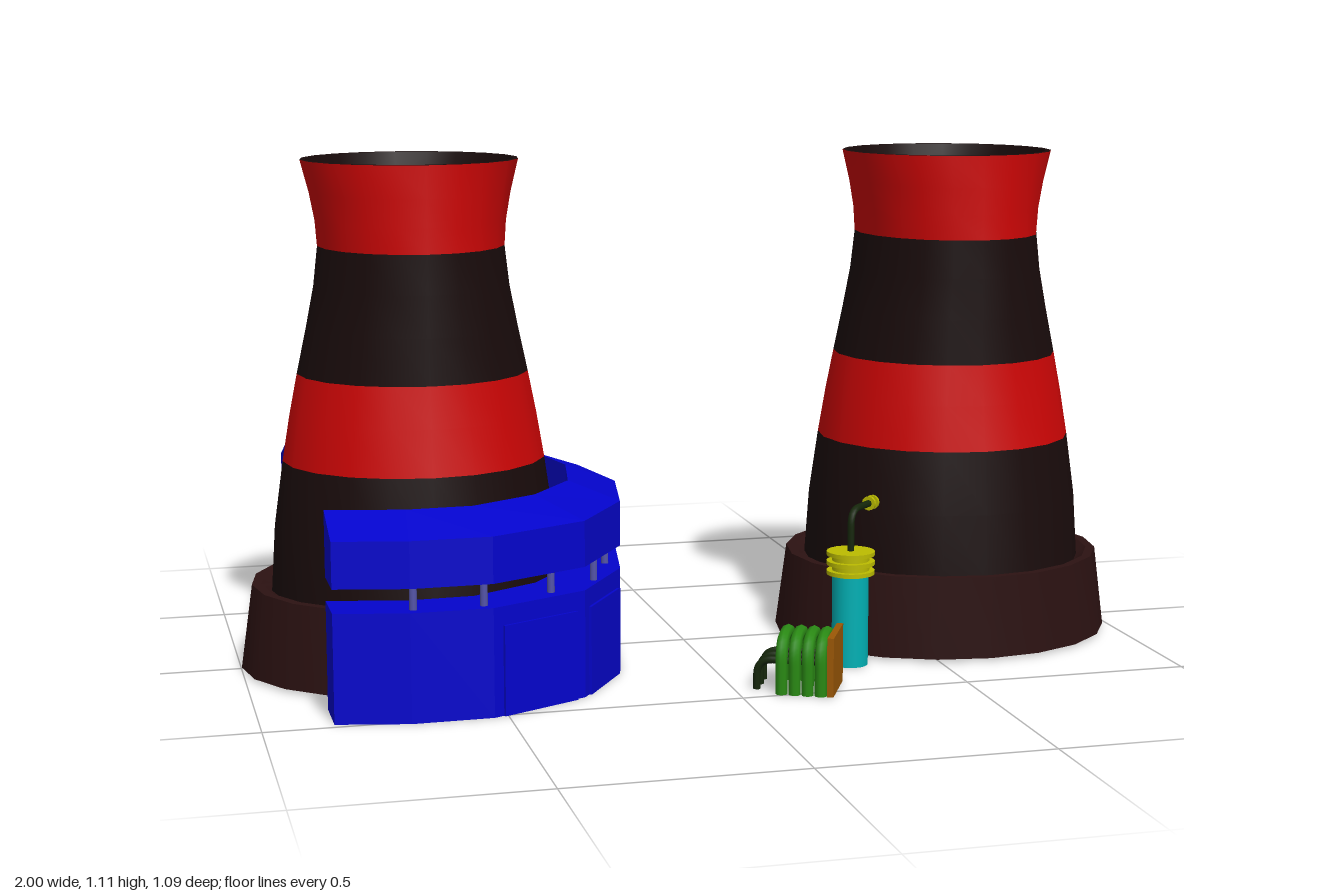
import * as THREE from 'three';
import { toCreasedNormals } from 'three/addons/utils/BufferGeometryUtils.js';

const mat = (color) => new THREE.MeshStandardMaterial({ color, side: THREE.DoubleSide });
const MAT = {
  red: mat(0xcc0505), dark: mat(0x190b0b), base: mat(0x2c1212), blue: mat(0x0404cc),
  column: mat(0x5555aa), teal: mat(0x00b0b4), yellow: mat(0xbcbc00),
  green: mat(0x2a8a14), pipe: mat(0x15260a), brown: mat(0x9c5805),
};

function add(parent, name, geometry, material, x = 0, y = 0, z = 0) {
  const mesh = new THREE.Mesh(geometry, material);
  mesh.name = name;
  mesh.position.set(x, y, z);
  parent.add(mesh);
  return mesh;
}

// Elliptical loft through rings of [y, radiusX, radiusZ]
function loft(rings, sides = 20) {
  const g = new THREE.LatheGeometry(rings.map(([y]) => new THREE.Vector2(1, y)), sides);
  const p = g.attributes.position;
  for (let i = 0; i < p.count; i++) {
    const [, rx, rz] = rings[i % rings.length];
    p.setX(i, p.getX(i) * rx);
    p.setZ(i, p.getZ(i) * rz);
  }
  return toCreasedNormals(g, 0.6);
}

// Sweep a wall section along matching outer and inner outlines;
// faces: 3 leaves the underside open, 4 closes it
function arcWall(outer, inner, yBottom, yOuter, yInner, faces) {
  const sections = outer.map(([x, z], i) => {
    const [u, w] = inner[i];
    return [[x, yBottom, z], [x, yOuter, z], [u, yInner, w], [u, yBottom, w]];
  });
  const verts = [];
  const quad = (a, b, c, d) => verts.push(...a, ...b, ...c, ...a, ...c, ...d);
  for (let i = 0; i < sections.length - 1; i++) {
    const a = sections[i], b = sections[i + 1];
    for (let k = 0; k < faces; k++) quad(a[k], a[(k + 1) % 4], b[(k + 1) % 4], b[k]);
  }
  const s = sections[0], e = sections[sections.length - 1];
  quad(s[0], s[3], s[2], s[1]);
  quad(e[0], e[1], e[2], e[3]);
  const g = new THREE.BufferGeometry();
  g.setAttribute('position', new THREE.Float32BufferAttribute(verts, 3));
  g.computeVertexNormals();
  return g;
}

// Round tube along straight runs with rounded corners
function pipe(points, radius, bend) {
  const v = points.map((p) => new THREE.Vector3(...p));
  const path = new THREE.CurvePath();
  let from = v[0];
  for (let i = 1; i < v.length - 1; i++) {
    const before = v[i].clone().add(v[i - 1].clone().sub(v[i]).setLength(bend));
    const after = v[i].clone().add(v[i + 1].clone().sub(v[i]).setLength(bend));
    path.add(new THREE.LineCurve3(from, before));
    path.add(new THREE.QuadraticBezierCurve3(before, v[i], after));
    from = after;
  }
  path.add(new THREE.LineCurve3(from, v[v.length - 1]));
  return new THREE.TubeGeometry(path, 36, radius, 8);
}

function coolingTower(x) {
  const tower = new THREE.Group();
  tower.name = 'coolingTower';
  tower.position.set(x, 0, 0.014);
  // Hollow base ring, open underneath
  add(tower, 'towerBase', loft([[0.006, 0.37, 0.32], [0.006, 0.3865, 0.336], [0.19, 0.36, 0.336],
    [0.19, 0.34, 0.317], [0.17, 0.31, 0.298], [0.16, 0.345, 0.32], [0.006, 0.37, 0.32]]), MAT.base);
  // Painted bands of the shell
  const bands = [
    [[0.17, 0.317, 0.305], [0.32, 0.307, 0.294], [0.46, 0.287, 0.278]],
    [[0.46, 0.287, 0.278], [0.56, 0.27, 0.264], [0.65, 0.252, 0.253]],
    [[0.65, 0.252, 0.253], [0.75, 0.23, 0.249], [0.84, 0.212, 0.246], [0.925, 0.202, 0.244]],
    [[0.925, 0.202, 0.244], [0.98, 0.206, 0.243], [1.04, 0.217, 0.243], [1.11, 0.235, 0.243]],
  ];
  bands.forEach((rings, i) => add(tower, 'towerBand', loft(rings), i % 2 ? MAT.red : MAT.dark));
  // Round lining joined to the rim
  const lining = bands.flat().filter((r, i, all) => i === 0 || r[0] !== all[i - 1][0])
    .map(([y, rx, rz]) => [y, rx - 0.01, Math.min(rx, rz) - 0.01]);
  add(tower, 'towerLining', loft([...lining, [1.11, 0.235, 0.243]]), MAT.dark);
  // Funnel with a central hole, part way up the shaft
  add(tower, 'innerFunnel', loft([[0.56, 0.018, 0.018], [0.65, 0.242, 0.242]]), MAT.dark);
  return tower;
}

function curvedBuilding() {
  const building = new THREE.Group();
  building.name = 'curvedBuilding';
  const outer = [[-0.853, -0.538], [-0.703, -0.544], [-0.473, -0.497], [-0.318, -0.39], [-0.2, -0.21],
    [-0.16, 0], [-0.2, 0.225], [-0.318, 0.41], [-0.53, 0.514], [-0.7, 0.516], [-0.853, 0.482]];
  const inner = [[-0.853, -0.42], [-0.7, -0.43], [-0.525, -0.41], [-0.41, -0.32], [-0.31, -0.17],
    [-0.273, 0], [-0.305, 0.18], [-0.405, 0.315], [-0.55, 0.4], [-0.69, 0.405], [-0.853, 0.368]];
  add(building, 'lowerWall', arcWall(outer, inner, 0, 0.23, 0.23, 3), MAT.blue);
  add(building, 'upperStorey', arcWall(outer, inner, 0.28, 0.378, 0.42, 4), MAT.blue);
  // Columns in the open gap
  const column = new THREE.CylinderGeometry(0.008, 0.008, 0.06, 8);
  const spots = [[-0.69, 0.487], [-0.545, 0.487], [-0.39, 0.408], [-0.28, 0.32], [-0.222, 0.17],
    [-0.192, 0], [-0.205, -0.13], [-0.248, -0.24], [-0.292, -0.32], [-0.345, -0.37],
    [-0.46, -0.45], [-0.58, -0.5], [-0.72, -0.525]];
  for (const [x, z] of spots) add(building, 'column', column, MAT.column, x, 0.255, z);
  // Large doors on the front facets
  for (const i of [6, 7]) {
    const [ax, az] = outer[i], [bx, bz] = outer[i + 1];
    const length = Math.hypot(ax - bx, az - bz);
    const door = add(building, 'door', new THREE.BoxGeometry(length * 0.8, 0.19, 0.012), MAT.blue,
      (ax + bx) / 2, 0.095, (az + bz) / 2);
    door.rotation.y = Math.atan2(bz - az, ax - bx);
  }
  return building;
}

function tankUnit() {
  const unit = new THREE.Group();
  unit.name = 'tankUnit';
  unit.position.set(0.303, 0, 0.292);
  add(unit, 'tank', new THREE.CylinderGeometry(0.04, 0.04, 0.2, 20), MAT.teal, 0, 0.1, 0);
  add(unit, 'tankCap', new THREE.CylinderGeometry(0.041, 0.041, 0.05, 20), MAT.yellow, 0, 0.225, 0);
  for (const y of [0.208, 0.229, 0.25]) {
    add(unit, 'capFlange', new THREE.CylinderGeometry(0.053, 0.053, 0.009, 20), MAT.yellow, 0, y, 0);
  }
  // Outlet pipe running through the tower wall
  add(unit, 'outletPipe', pipe([[0, 0.245, 0], [0, 0.345, 0], [0.115, 0.345, -0.115]], 0.008, 0.035), MAT.pipe);
  for (const d of [0.062, 0.074]) {
    const flange = add(unit, 'pipeFlange', new THREE.CylinderGeometry(0.016, 0.016, 0.006, 12),
      MAT.yellow, d, 0.345, -d);
    flange.rotation.set(0, Math.PI / 4, Math.PI / 2, 'YXZ');
  }
  return unit;
}

function pipeRack() {
  const rack = new THREE.Group();
  rack.name = 'pipeRack';
  rack.position.set(0.208, 0, 0.481);
  rack.rotation.y = -0.46;
  add(rack, 'backPlate', new THREE.BoxGeometry(0.014, 0.127, 0.135), MAT.brown, 0, 0.0635, 0);
  for (let i = 0; i < 4; i++) {
    const x = -0.021 - i * 0.028;
    add(rack, 'archPipe', pipe([[x, 0, -0.06], [x, 0.119, -0.06], [x, 0.119, 0.06], [x, 0, 0.06]],
      0.013, 0.052), MAT.green);
  }
  for (const z of [-0.05, -0.01, 0.03]) {
    add(rack, 'feedPipe', pipe([[-0.01, 0.065, z], [-0.163, 0.065, z], [-0.163, 0, z]], 0.008, 0.035), MAT.pipe);
  }
  return rack;
}

export function createModel() {
  const model = new THREE.Group();
  model.name = 'powerPlant';
  model.add(coolingTower(-0.6135), coolingTower(0.6135), curvedBuilding(), tankUnit(), pipeRack());
  return model;
}
